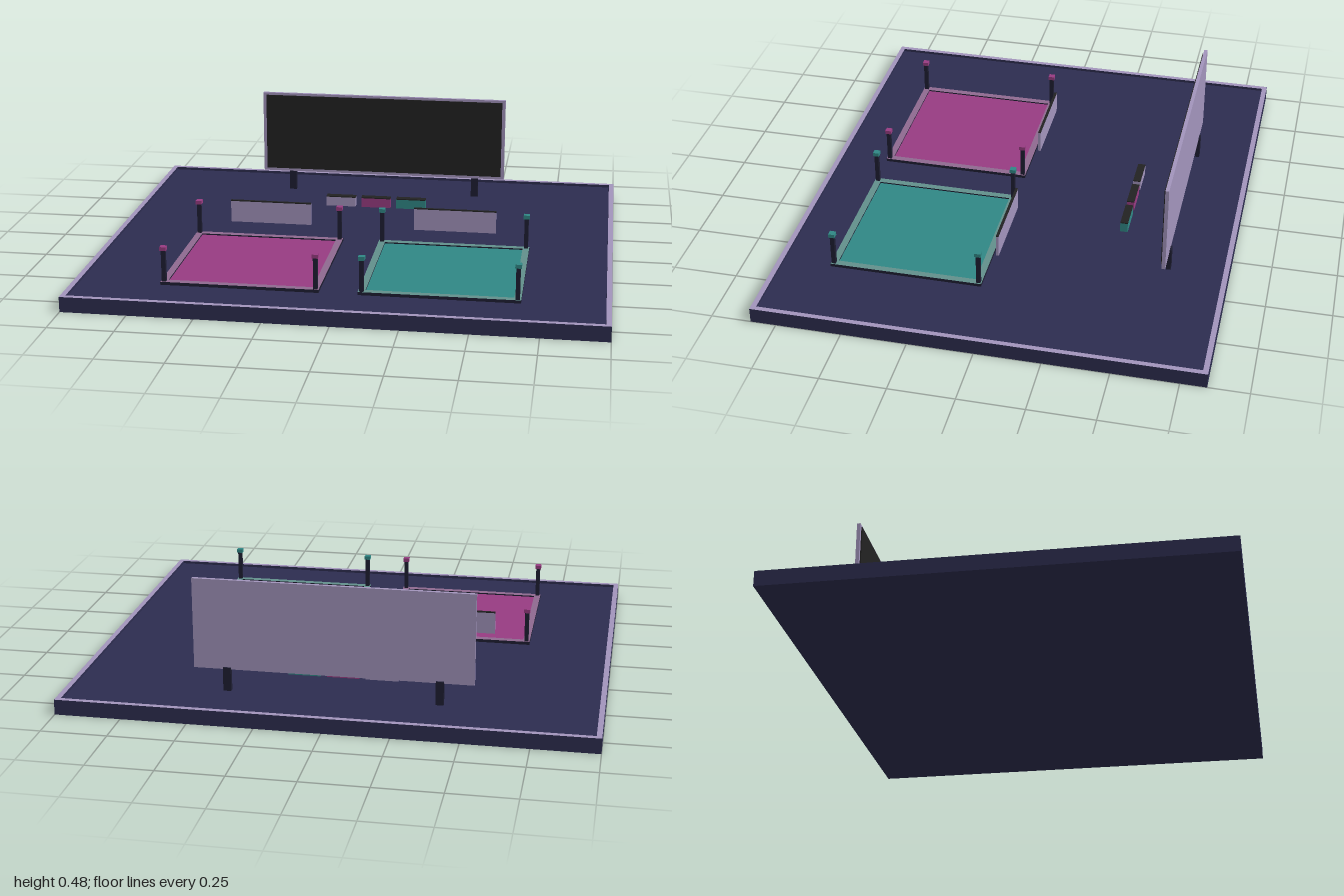
import * as THREE from 'three';

const mat = (name, color) => {
  const m = new THREE.MeshStandardMaterial({ color });
  m.name = name;
  return m;
};

export function createModel() {
  const navy = mat('navy', 0x2d2d50);
  const lavender = mat('lavender', 0xa294bc);
  const black = mat('black', 0x222222);
  const magenta = mat('magenta', 0x983c82);
  const teal = mat('teal', 0x308886);
  const dark = mat('dark post', 0x1e1e32);
  const mauve = mat('mauve border', 0x8f6a90);
  const sage = mat('sage border', 0x62908c);

  const model = new THREE.Group();
  model.name = 'arena';

  // Box given by its centre in x and z, its bottom and its top
  function box(name, material, x, z, w, d, y0, y1, parent = model) {
    const mesh = new THREE.Mesh(new THREE.BoxGeometry(w, y1 - y0, d), material);
    mesh.name = name;
    mesh.position.set(x, (y0 + y1) / 2, z);
    parent.add(mesh);
    return mesh;
  }

  // Square ring lying flat, with separate materials for the top and the sides
  function ring(name, top, side, x, z, w, d, t, y0, y1, parent = model) {
    const shape = new THREE.Shape();
    const trace = (path, a, b) =>
      path.moveTo(-a, -b).lineTo(a, -b).lineTo(a, b).lineTo(-a, b).closePath();
    trace(shape, w / 2, d / 2);
    const hole = new THREE.Path();
    trace(hole, w / 2 - t, d / 2 - t);
    shape.holes.push(hole);
    const geo = new THREE.ExtrudeGeometry(shape, { depth: y1 - y0, bevelEnabled: false });
    geo.rotateX(-Math.PI / 2);
    const mesh = new THREE.Mesh(geo, [top, side]);
    mesh.name = name;
    mesh.position.set(x, y0, z);
    parent.add(mesh);
  }

  // Platform with a raised rim
  const floorY = 0.048;
  box('platform', navy, 0, 0, 2, 1.695, 0, floorY);
  ring('platformRim', lavender, navy, 0, 0, 2, 1.695, 0.02, floorY, 0.059);

  // Two square courts with corner posts
  for (const [side, s, colour, border] of [['right', -1, magenta, mauve], ['left', 1, teal, sage]]) {
    const court = new THREE.Group();
    court.name = side + 'Court';
    model.add(court);
    const cx = s * 0.373, cz = 0.347;
    box('courtMat', colour, cx, cz, 0.56, 0.56, floorY, 0.055, court);
    ring('courtBorder', border, dark, cx, cz, 0.6, 0.592, 0.026, floorY, 0.06, court);
    for (const i of [-1, 1]) {
      for (const j of [-1, 1]) {
        const x = cx + i * 0.287, z = cz + j * 0.284;
        box('cornerPost', dark, x, z, 0.016, 0.016, floorY, 0.182, court);
        box('postCap', colour, x, z, 0.024, 0.024, 0.182, 0.197, court);
      }
    }
    // Floating sign behind the court
    box('courtSign', lavender, cx, 0.02, 0.328, 0.01, 0.1, 0.187, court);
    box('signTop', black, cx, 0.02, 0.328, 0.01, 0.187, 0.191, court);
  }

  // Large screen on two legs
  const screen = new THREE.Group();
  screen.name = 'bigScreen';
  model.add(screen);
  box('screenBack', lavender, 0, -0.613, 1.054, 0.014, 0.132, 0.483, screen);
  box('screenFace', black, 0, -0.604, 1.026, 0.005, 0.144, 0.473, screen);
  for (const s of [-1, 1]) {
    box('screenLeg', dark, s * 0.4, -0.618, 0.03, 0.018, floorY, 0.14, screen);
  }

  // Row of three small blocks with dark tops
  [lavender, magenta, teal].forEach((colour, i) => {
    const x = -0.153 + i * 0.15;
    box('smallBlock', colour, x, -0.411, 0.125, 0.03, floorY, 0.087);
    box('blockTop', black, x, -0.411, 0.125, 0.03, 0.087, 0.091);
  });

  return model;
}
